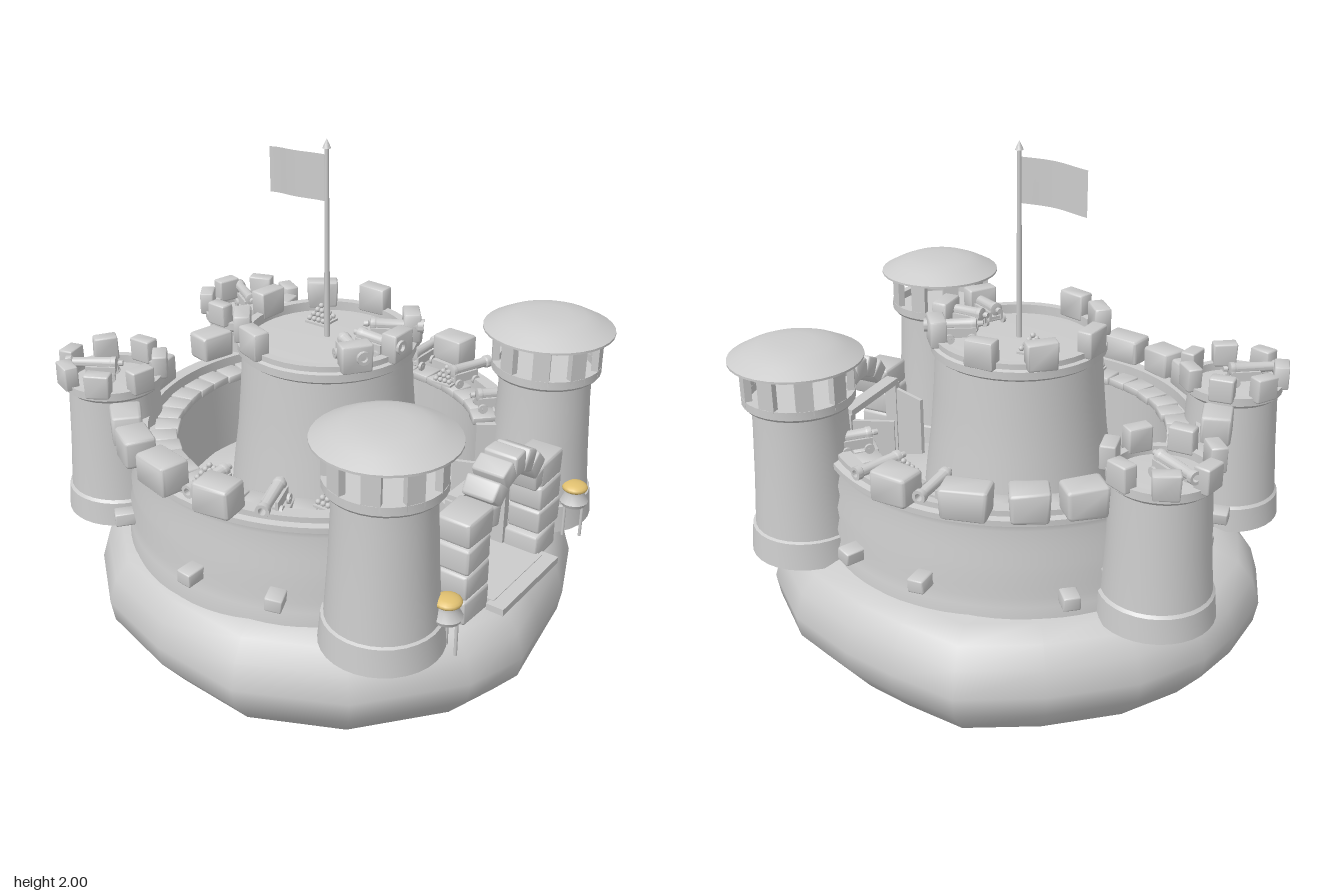
import * as THREE from 'three';
import { toCreasedNormals } from 'three/addons/utils/BufferGeometryUtils.js';
import { RoundedBoxGeometry } from 'three/addons/geometries/RoundedBoxGeometry.js';

const grey = new THREE.MeshStandardMaterial({ color: 0xcccccc, side: THREE.DoubleSide });
const gold = new THREE.MeshStandardMaterial({ color: 0xe0c070 });
const RAD = Math.PI / 180;
let seed = 7;
const rnd = () => (seed = (seed * 16807) % 2147483647) / 2147483647 - 0.5;

function add(parent, name, geo, x = 0, y = 0, z = 0, mat = grey) {
  const m = new THREE.Mesh(geo, mat);
  m.name = name;
  m.position.set(x, y, z);
  parent.add(m);
  return m;
}
function group(parent, name, x = 0, y = 0, z = 0) {
  const g = new THREE.Group();
  g.name = name;
  g.position.set(x, y, z);
  parent.add(g);
  return g;
}
const lathe = (pts, seg = 32, start = 0, len = Math.PI * 2) =>
  toCreasedNormals(new THREE.LatheGeometry(pts.map(p => new THREE.Vector2(...p)), seg, start, len), 0.6);

// Rough-hewn stone: rounded box with a slight random taper and skew
function stone(w, h, d) {
  const g = new RoundedBoxGeometry(w, h, d, 2, Math.min(w, h, d) * 0.13);
  const p = g.attributes.position, a = rnd() * 0.2, b = rnd() * 0.2, c = rnd() * 0.15;
  for (let i = 0; i < p.count; i++) {
    const u = p.getX(i) / w, v = p.getY(i) / h;
    p.setXYZ(i, p.getX(i) * (1 + a * v), p.getY(i) * (1 + c * u), p.getZ(i) * (1 + b * u));
  }
  g.computeVertexNormals();
  return toCreasedNormals(g, 0.7);
}
// Stone on a circle; angle is in degrees from +z towards +x
function ringStone(parent, name, r, deg, y, w, h, d) {
  const m = add(parent, name, stone(w, h, d), r * Math.sin(deg * RAD), y, r * Math.cos(deg * RAD));
  m.rotation.y = deg * RAD;
  return m;
}

function rock(parent) {
  const outline = [[-0.08, -0.94], [0.15, -0.92], [0.33, -0.87], [0.55, -0.72], [0.75, -0.47], [0.89, -0.2],
    [0.86, 0.05], [0.82, 0.25], [0.72, 0.52], [0.52, 0.75], [0.25, 0.86], [0, 0.9], [-0.18, 0.93], [-0.4, 0.86],
    [-0.72, 0.6], [-0.89, 0.25], [-0.87, -0.1], [-0.78, -0.42], [-0.58, -0.66], [-0.3, -0.87]];
  // [scale, height] of each cross-section, underside to courtyard mound
  const levels = [[0, 0], [0.18, 0.006], [0.42, 0.04], [0.68, 0.105], [0.88, 0.2], [0.985, 0.32], [1, 0.4],
    [0.97, 0.49], [0.91, 0.555], [0.82, 0.585], [0.7, 0.605], [0.5, 0.68], [0.36, 0.735], [0, 0.75]];
  const n = outline.length, pos = [], idx = [];
  for (const [s, y] of levels) for (const [x, z] of outline) pos.push(x * s, y, z * s);
  for (let j = 0; j < levels.length - 1; j++) for (let i = 0; i < n; i++) {
    const a = j * n + i, b = j * n + (i + 1) % n;
    idx.push(a, a + n, b, b, a + n, b + n);
  }
  const g = new THREE.BufferGeometry();
  g.setAttribute('position', new THREE.Float32BufferAttribute(pos, 3));
  g.setIndex(idx);
  g.computeVertexNormals();
  add(parent, 'rock', g);
}

function cannon(parent, x, y, z, rot) {
  const g = group(parent, 'cannon', x, y, z);
  g.rotation.y = rot;
  const barrel = add(g, 'barrel', lathe([[0, -0.1], [0.01, -0.1], [0.011, -0.085], [0.006, -0.08], [0.024, -0.075],
    [0.024, -0.06], [0.021, -0.055], [0.018, 0.085], [0.024, 0.09], [0.024, 0.11], [0.013, 0.11], [0.012, 0.06],
    [0, 0.06]], 14), 0, 0.062, 0.01);
  barrel.rotation.x = Math.PI / 2;
  for (const s of [-1, 1]) {
    add(g, 'carriageCheek', new THREE.BoxGeometry(0.01, 0.035, 0.11), s * 0.024, 0.038, -0.01);
    for (const wz of [-0.05, 0.03]) {
      add(g, 'wheel', new THREE.CylinderGeometry(0.018, 0.018, 0.01, 12), s * 0.036, 0.018, wz).rotation.z = Math.PI / 2;
    }
  }
  for (const wz of [-0.05, 0.03])
    add(g, 'axle', new THREE.CylinderGeometry(0.006, 0.006, 0.085, 8), 0, 0.018, wz).rotation.z = Math.PI / 2;
  add(g, 'carriageBed', new THREE.BoxGeometry(0.04, 0.01, 0.1), 0, 0.028, -0.01);
}

function ballPile(parent, x, y, z) {
  const g = group(parent, 'cannonballs', x, y, z);
  add(g, 'tray', new THREE.BoxGeometry(0.085, 0.008, 0.085));
  for (let l = 0; l < 4; l++) for (let i = 0; i < 4 - l; i++) for (let k = 0; k < 4 - l; k++)
    add(g, 'ball', new THREE.SphereGeometry(0.01, 8, 6), (i - (3 - l) / 2) * 0.02, 0.014 + l * 0.0145, (k - (3 - l) / 2) * 0.02);
}

function curtainWall(castle) {
  const g = group(castle, 'curtainWall');
  const prof = [[0.55, 0.56], [0.74, 0.56], [0.735, 0.63], [0.725, 0.66], [0.73, 0.7], [0.718, 0.74], [0.722, 0.78],
    [0.708, 0.82], [0.712, 0.86], [0.7, 0.9], [0.705, 0.925], [0.722, 0.93], [0.722, 0.95], [0.7, 0.955],
    [0.7, 0.975], [0.65, 0.975], [0.65, 0.93], [0.55, 0.93], [0.55, 0.56]];
  add(g, 'wallRing', lathe(prof, 64, 38 * RAD, 284 * RAD));
  for (const a of [38, 322])
    add(g, 'wallEnd', new THREE.ShapeGeometry(new THREE.Shape(prof.map(p => new THREE.Vector2(...p))))).rotation.y = (a - 90) * RAD;
  for (let i = 0; i < 34; i++)
    ringStone(g, 'walkwayStone', 0.588 + rnd() * 0.01, 44 + i * 8.25, 0.935, 0.078, 0.03, 0.09);
  for (const s of [-1, 1]) {
    for (const [a, w] of [[82, 0.14], [102, 0.16], [118, 0.13], [132, 0.14], [167, 0.14]])
      ringStone(g, 'merlon', 0.722, 180 + s * (180 - a), 1.02, w, 0.11, 0.11);
    for (const [a, y] of [[66, 0.69], [90, 0.7], [128, 0.67], [140, 0.72], [172, 0.69]])
      ringStone(g, 'juttingStone', 0.745, s * a, y, 0.06, 0.05, 0.1).rotation.z = rnd() * 0.3;
    for (const a of [47, 69, 90]) cannon(g, s * 0.63 * Math.sin(a * RAD), 0.95, 0.63 * Math.cos(a * RAD), s * a * RAD);
  }
  ballPile(g, -0.575, 0.955, -0.06);
  ballPile(g, 0.55, 0.955, 0.17);
  ballPile(g, -0.46, 0.955, 0.36);
}

function frontTower(castle, s) {
  const g = group(castle, 'frontTower', s * 0.515, 0, 0.605);
  add(g, 'towerBody', lathe([[0, 0.57], [0.21, 0.57], [0.2, 0.67], [0.19, 0.675], [0.178, 0.85], [0.168, 1.05], [0.166, 1.13],
    [0.19, 1.14], [0.198, 1.15], [0.198, 1.18], [0.17, 1.18], [0.17, 1.15], [0, 1.15]]));
  for (let i = 0; i < 9; i++) {
    const a = i * 40 * RAD + 0.2;
    add(g, 'roofPost', new THREE.BoxGeometry(0.06, 0.15, 0.025), 0.183 * Math.sin(a), 1.235, 0.183 * Math.cos(a)).rotation.y = a;
  }
  add(g, 'roof', lathe([[0, 1.295], [0.2, 1.29], [0.235, 1.3], [0.235, 1.308], [0.18, 1.337], [0.13, 1.357], [0.07, 1.364], [0, 1.366]]));
}

function rearTower(castle, s) {
  const g = group(castle, 'rearTower', s * 0.39, 0, -0.69);
  add(g, 'towerBody', lathe([[0, 0.57], [0.205, 0.57], [0.197, 0.66], [0.188, 0.67], [0.175, 0.85], [0.165, 1.06],
    [0.182, 1.075], [0.182, 1.105], [0.155, 1.105], [0.155, 1.075], [0, 1.085]]));
  for (let i = 0; i < 7; i++) ringStone(g, 'merlon', 0.172, s * (i * 51.4 + 10), 1.135, 0.09, 0.09, 0.055);
  cannon(g, s * 0.03, 1.083, -0.04, Math.atan2(s * 0.13, -0.2));
}

function keep(castle) {
  const g = group(castle, 'keep');
  add(g, 'keepBody', lathe([[0, 0.66], [0.36, 0.66], [0.345, 0.8], [0.325, 0.95], [0.312, 1.1], [0.302, 1.25], [0.318, 1.262],
    [0.318, 1.29], [0.305, 1.295], [0.305, 1.315], [0.275, 1.315], [0.275, 1.28], [0, 1.295]], 40));
  for (const a of [0, 37, 90, 130, 173, 218, 250, 325])
    ringStone(g, 'merlon', 0.297, a, 1.342, 0.11, 0.1, 0.06);
  for (const a of [-32, -5, 30]) cannon(g, 0.22 * Math.sin(a * RAD), 1.287, 0.22 * Math.cos(a * RAD), a * RAD);
  ballPile(g, 0.1, 1.295, -0.1);
  // Flagpole, finial and a rippling flag streaming backwards
  add(g, 'flagpole', new THREE.CylinderGeometry(0.007, 0.011, 0.69, 12), 0, 1.63, 0);
  add(g, 'finial', lathe([[0, 1.965], [0.015, 1.968], [0.007, 1.985], [0, 2]], 12));
  const flag = new THREE.PlaneGeometry(0.25, 0.16, 16, 4), p = flag.attributes.position;
  for (let i = 0; i < p.count; i++) {
    const u = p.getX(i) / 0.25 + 0.5, y = p.getY(i);
    p.setXYZ(i, -0.018 * Math.sin(u * 5) * u, y + 1.865 - 0.016 * u * u, -0.008 - u * 0.25);
  }
  flag.computeVertexNormals();
  add(g, 'flag', flag);
}

function gate(castle) {
  const g = group(castle, 'gatehouse');
  for (const s of [-1, 1]) {
    for (let i = 0; i < 4; i++)
      add(g, 'pillarStone', stone(0.15, 0.097, 0.13), s * (0.24 + rnd() * 0.02), 0.625 + i * 0.098, 0.735);
    const door = add(g, 'openDoor', new THREE.BoxGeometry(0.015, 0.33, 0.16), s * 0.135, 0.74, 0.55);
    door.rotation.y = s * 22 * RAD;
    add(g, 'doorPost', new THREE.BoxGeometry(0.03, 0.36, 0.05), s * 0.165, 0.75, 0.645);
  }
  // Arch of wedge-set stones
  for (let i = 0; i < 7; i++) {
    const a = (-75 + i * 25) * RAD;
    add(g, 'archStone', stone(0.073, 0.08, 0.125), 0.165 * Math.sin(a), 0.875 + 0.165 * Math.cos(a), 0.735).rotation.z = -a;
  }
  add(g, 'lintel', new THREE.BoxGeometry(0.34, 0.025, 0.05), 0, 0.935, 0.645);
  add(g, 'threshold', new THREE.BoxGeometry(0.39, 0.025, 0.065), 0, 0.59, 0.838);
  add(g, 'gateFloor', new THREE.BoxGeometry(0.34, 0.02, 0.2), 0, 0.595, 0.72);
}

function brazier(castle, s) {
  const g = group(castle, 'brazier', s * 0.437, 0, 0.8);
  add(g, 'bowl', lathe([[0, 0.675], [0.045, 0.68], [0.052, 0.695], [0.036, 0.725], [0.036, 0.74], [0, 0.74]], 18));
  add(g, 'glow', new THREE.SphereGeometry(0.047, 18, 10).scale(1, 0.42, 1), 0, 0.75, 0, gold);
  for (let i = 0; i < 3; i++) {
    const a = i * 120 * RAD;
    add(g, 'leg', new THREE.CylinderGeometry(0.006, 0.006, 0.13, 8), 0.036 * Math.sin(a), 0.62, 0.036 * Math.cos(a));
  }
}

export function createModel() {
  const model = new THREE.Group();
  model.name = 'castleOnRock';
  rock(model);
  const castle = group(model, 'castle', -0.033);
  curtainWall(castle);
  for (const s of [-1, 1]) {
    frontTower(castle, s);
    rearTower(castle, s);
    brazier(castle, s);
  }
  keep(castle);
  gate(castle);
  return model;
}
